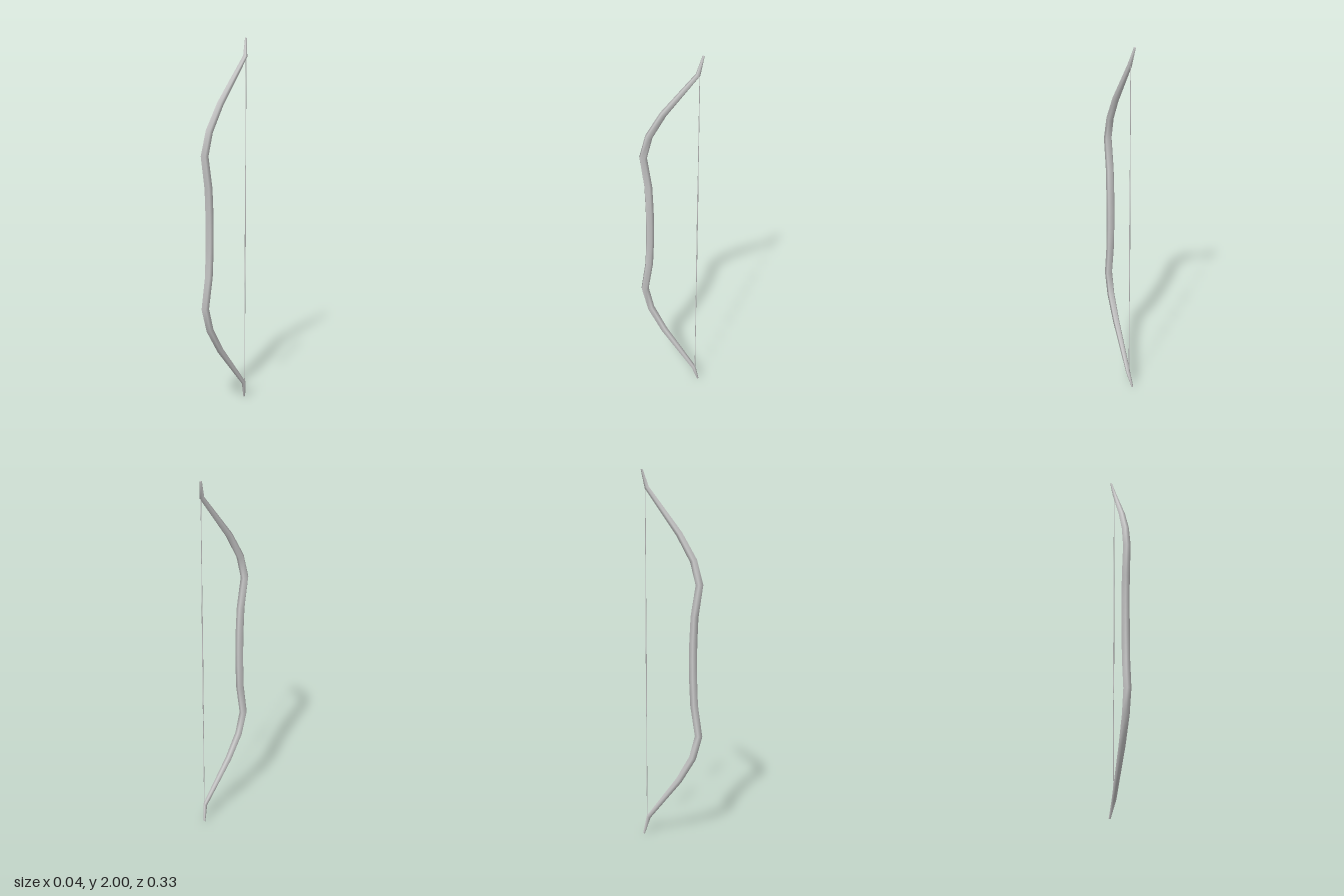
import * as THREE from 'three';

const SIDES = 5;
const TURN = THREE.MathUtils.degToRad(30);

// Sweeps a five-sided section of varying radius along stations [x, y, z, radius].
function sweep(stations) {
  const pts = stations.map(([x, y, z]) => new THREE.Vector3(x, y, z));
  const xAxis = new THREE.Vector3(1, 0, 0);
  const positions = [];
  const index = [];
  const last = pts.length - 1;

  pts.forEach((p, i) => {
    // The section is square to the average direction of its neighbours.
    const t = new THREE.Vector3();
    if (i > 0) t.add(p.clone().sub(pts[i - 1]).normalize());
    if (i < last) t.add(pts[i + 1].clone().sub(p).normalize());
    t.x = 0;
    const n = new THREE.Vector3().crossVectors(xAxis, t.normalize());
    for (let j = 0; j < SIDES; j++) {
      const a = TURN + (j / SIDES) * Math.PI * 2;
      const v = p.clone()
        .addScaledVector(xAxis, Math.cos(a) * stations[i][3])
        .addScaledVector(n, Math.sin(a) * stations[i][3]);
      positions.push(v.x, v.y, v.z);
    }
  });

  for (let i = 0; i < last; i++) {
    for (let j = 0; j < SIDES; j++) {
      const a = i * SIDES + j;
      const b = i * SIDES + (j + 1) % SIDES;
      index.push(a, a + SIDES, b, b, a + SIDES, b + SIDES);
    }
  }

  // End caps use their own corners so their edges stay crisp.
  for (const [ring, top] of [[0, false], [last, true]]) {
    const base = positions.length / 3;
    positions.push(...positions.slice(ring * SIDES * 3, (ring + 1) * SIDES * 3));
    for (let j = 1; j < SIDES - 1; j++) {
      if (top) index.push(base, base + j + 1, base + j);
      else index.push(base, base + j, base + j + 1);
    }
  }

  const geometry = new THREE.BufferGeometry();
  geometry.setAttribute('position', new THREE.Float32BufferAttribute(positions, 3));
  geometry.setIndex(index);
  geometry.computeVertexNormals();
  return geometry;
}

export function createModel() {
  const group = new THREE.Group();
  group.name = 'bow';
  const material = new THREE.MeshStandardMaterial({ color: 0xcccccc });

  // Upper half from grip to tip; the lower half mirrors it about y = 1.
  const upper = [
    [0, 1.0, 0.113, 0.0228],
    [0, 1.1, 0.114, 0.0228],
    [0, 1.24, 0.12, 0.0222],
    [0, 1.41, 0.146, 0.0215],
    [0, 1.535, 0.113, 0.0205],
    [0, 1.67, 0.036, 0.0185],
    [0.001, 1.905, -0.141, 0.0125],
    [-0.016, 1.999, -0.163, 0.0055],
  ];
  const lower = upper.slice(1).reverse().map(([x, y, z, r]) => [x, 2 - y, z, r]);
  const stave = new THREE.Mesh(sweep([...lower, ...upper]), material);
  stave.name = 'stave';
  group.add(stave);

  // Taut string, a little thicker around the middle.
  const profile = [[0, -0.905], [0.002, -0.905], [0.002, -0.33], [0.003, -0.27],
    [0.003, 0.27], [0.002, 0.33], [0.002, 0.905], [0, 0.905]];
  const string = new THREE.Mesh(
    new THREE.LatheGeometry(profile.map(([r, y]) => new THREE.Vector2(r, y)), 6), material);
  string.name = 'string';
  string.position.set(0, 1, -0.15);
  group.add(string);

  return group;
}
